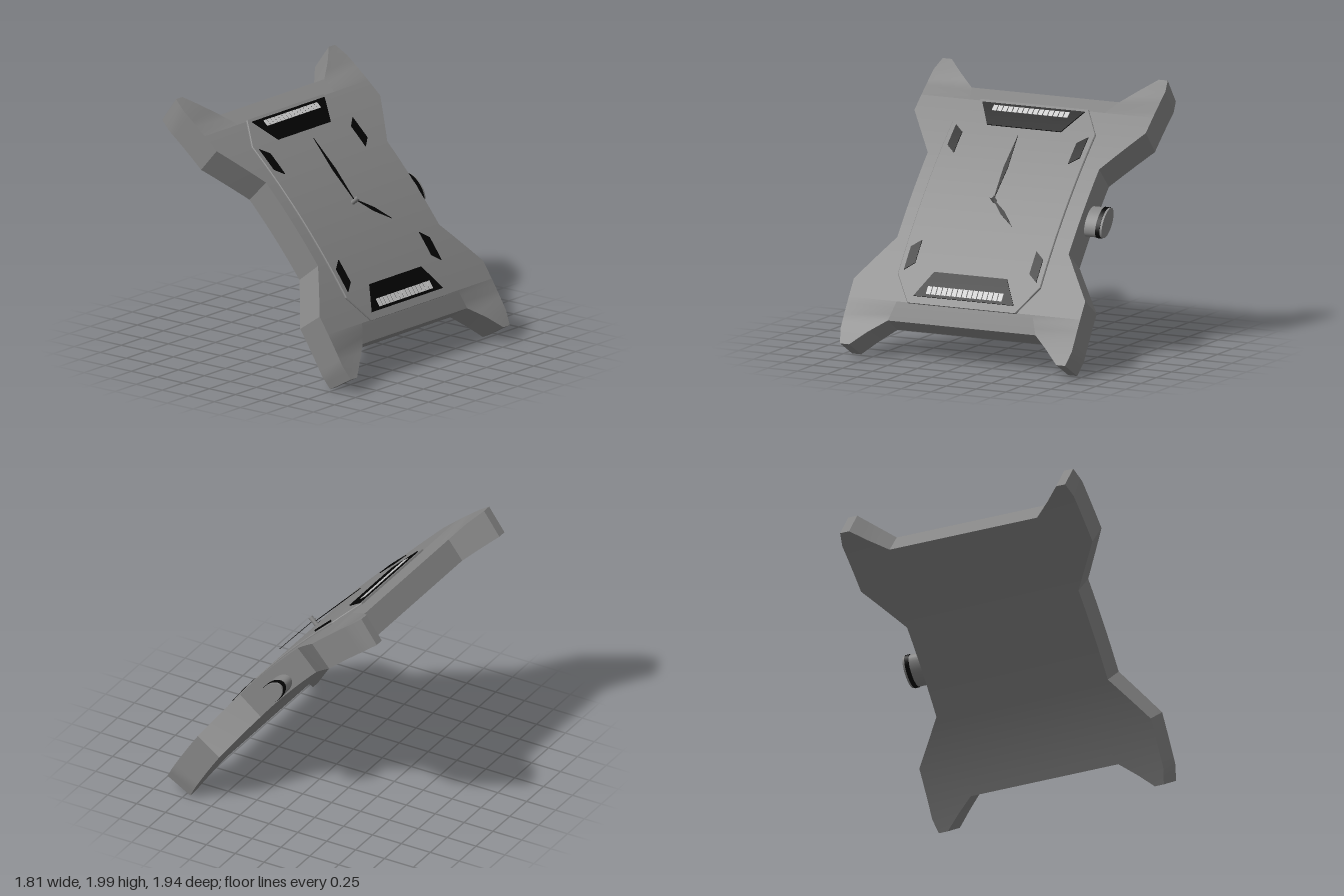
import * as THREE from 'three';
import { toCreasedNormals } from 'three/addons/utils/BufferGeometryUtils.js';

// The whole case is bent round an axis parallel to z.
const CX = -4.193, CY = -2.752, R_IN = 5.63, R_OUT = 5.857, MID = 41.8 * Math.PI / 180;
const DIAL_Z = 0.02;

const grey = new THREE.MeshStandardMaterial({ color: 0x858585 });
const black = new THREE.MeshStandardMaterial({ color: 0x030303 });
const pale = new THREE.MeshStandardMaterial({ color: 0xe6e6e6 });

// v: distance along the arc, r: radius from the bend axis
function bend(v, r, z) {
  const a = MID + v / R_IN;
  return [CX + r * Math.cos(a), CY + r * Math.sin(a), z];
}

// Curved slab lofted through stations [v, zMin, zMax, outer radius at zMin, at zMax], v rising
function strip(name, stations, rIn, rOut, material = grey, chamfer = 0, zOff = 0) {
  const full = stations.map(([v, z0, z1, r0 = rOut, r1 = rOut]) => [v, z0, z1, r0, r1]);
  const rows = [full[0]];
  for (let k = 1; k < full.length; k++) {
    const p = full[k - 1], s = full[k], n = Math.max(1, Math.ceil((s[0] - p[0]) / 0.06));
    for (let i = 1; i <= n; i++) rows.push(s.map((x, j) => p[j] + (x - p[j]) * i / n));
  }
  const pos = [], index = [];
  for (const [v, z0, z1, r0, r1] of rows) {
    const ring = chamfer
      ? [[z0, rIn], [z1, rIn], [z1, r1 - chamfer], [z1 - chamfer, r1], [z0 + chamfer, r0], [z0, r0 - chamfer]]
      : [[z0, rIn], [z1, rIn], [z1, r1], [z0, r0]];
    for (const [z, r] of ring) pos.push(...bend(v, r, z + zOff));
  }
  const m = chamfer ? 6 : 4, last = (rows.length - 1) * m;
  for (let k = 0; k < rows.length - 1; k++) {
    for (let j = 0; j < m; j++) {
      const a = k * m + j, b = k * m + (j + 1) % m;
      index.push(a, b, b + m, a, b + m, a + m);
    }
  }
  for (let j = 1; j < m - 1; j++) index.push(0, j + 1, j, last, last + j, last + j + 1);
  const geo = new THREE.BufferGeometry();
  geo.setAttribute('position', new THREE.Float32BufferAttribute(pos, 3));
  geo.setIndex(index);
  const mesh = new THREE.Mesh(toCreasedNormals(geo, 0.4), material);
  mesh.name = name;
  return mesh;
}

const flipV = (st) => st.map(([v, ...rest]) => [-v, ...rest]).reverse();
const flipZ = (st) => st.map(([v, a, b, r0, r1]) => [v, -b, -a, r1, r0]);

// Thin diamond-shaped hand pointing along +y
function hand(name, length, angle, lift, tilt) {
  const shape = new THREE.Shape();
  shape.moveTo(0, -0.02);
  shape.lineTo(0.018, length * 0.5);
  shape.lineTo(0, length);
  shape.lineTo(-0.018, length * 0.5);
  const mesh = new THREE.Mesh(
    new THREE.ExtrudeGeometry(shape, { depth: 0.005, bevelEnabled: false }), black);
  mesh.name = name;
  mesh.rotation.set(tilt, 0, angle);
  mesh.position.z = lift;
  return mesh;
}

export function createModel() {
  const model = new THREE.Group();
  model.name = 'watchCase';

  // Case body with waisted sides
  const half = [[0, -0.72, 0.72], [0.36, -0.72, 0.72], [0.716, -0.972, 0.972], [0.86, -0.972, 0.972]];
  model.add(strip('caseBody', [...flipV(half).slice(0, -1), ...half], R_IN, R_OUT));

  // Sloped end bars blending into the four lugs
  const bar = [[0.86, -0.57, 0.57], [1.0, -0.62, 0.62, 5.82, 5.82]];
  const lug = [[0.86, 0.57, 0.972], [1.0, 0.62, 0.972, 5.82, R_OUT],
    [1.11, 0.752, 0.972, 5.845, R_OUT], [1.22, 0.87, 0.945]];
  for (const end of [(s) => s, flipV]) {
    model.add(strip('endBar', end(bar), R_IN, R_OUT));
    model.add(strip('lug', end(lug), R_IN, R_OUT));
    model.add(strip('lug', end(flipZ(lug)), R_IN, R_OUT));
  }

  // Eight-sided dial
  const dial = [[-0.865, -0.455, 0.455], [-0.65, -0.6, 0.6], [0.65, -0.6, 0.6], [0.865, -0.455, 0.455]];
  model.add(strip('dial', dial, 5.8, 5.87, grey, 0.006, DIAL_Z));

  // Black end panels with a row of light ticks
  const panels = [
    { st: [[0.639, -0.31, 0.31], [0.838, -0.43, 0.43]], t0: 0.766, t1: 0.816 },
    { st: [[-0.81, -0.42, 0.42], [-0.612, -0.305, 0.305]], t0: -0.79, t1: -0.728 },
  ];
  for (const { st, t0, t1 } of panels) {
    model.add(strip('endPanel', st, 5.86, 5.878, black, 0, DIAL_Z - 0.005));
    for (let i = 0; i < 15; i++) {
      const z = -0.3 + i * 0.0428;
      model.add(strip('tick', [[t0, z, z + 0.036], [t1, z, z + 0.036]], 5.87, 5.882, pale, 0, DIAL_Z - 0.02));
    }
  }

  // Slanted corner markers
  const marker = [[0.37, 0.48, 0.4801], [0.43, 0.48, 0.555], [0.555, 0.48, 0.555], [0.615, 0.5549, 0.555]];
  for (const m of [marker, flipZ(marker), flipV(marker), flipV(flipZ(marker))]) {
    model.add(strip('cornerMarker', m, 5.86, 5.876, black, 0, DIAL_Z));
  }

  // Hands and centre pin, in a frame lying on the dial
  const hands = new THREE.Group();
  hands.name = 'hands';
  const cos = Math.cos(MID), sin = Math.sin(MID);
  hands.quaternion.setFromRotationMatrix(new THREE.Matrix4().makeBasis(
    new THREE.Vector3(0, 0, -1), new THREE.Vector3(-sin, cos, 0), new THREE.Vector3(cos, sin, 0)));
  hands.position.set(...bend(0, 5.87, DIAL_Z));
  const pin = new THREE.Mesh(new THREE.CylinderGeometry(0.018, 0.018, 0.09, 16), grey);
  pin.name = 'centrePin';
  pin.rotation.x = Math.PI / 2;
  pin.position.z = 0.03;
  hands.add(pin,
    hand('minuteHand', 0.576, 0, 0.024, -0.035),
    hand('hourHand', 0.332, -Math.atan2(0.24, -0.229), 0.038, 0));
  model.add(hands);

  // Oval crown on the side, flattened across the case thickness, with a black band
  const crown = new THREE.Group();
  crown.name = 'crown';
  crown.position.set(...bend(0, 5.71, 0));
  crown.rotation.z = MID;
  const addDisc = (name, radius, z0, z1, material) => {
    const disc = new THREE.Mesh(new THREE.CylinderGeometry(radius, radius, z1 - z0, 32), material);
    disc.name = name;
    disc.rotation.x = Math.PI / 2;
    disc.scale.x = 0.55;
    disc.position.z = (z0 + z1) / 2;
    crown.add(disc);
  };
  addDisc('crownStem', 0.127, -0.867, -0.7, grey);
  addDisc('crownBand', 0.132, -0.85, -0.815, black);
  model.add(crown);

  return model;
}
